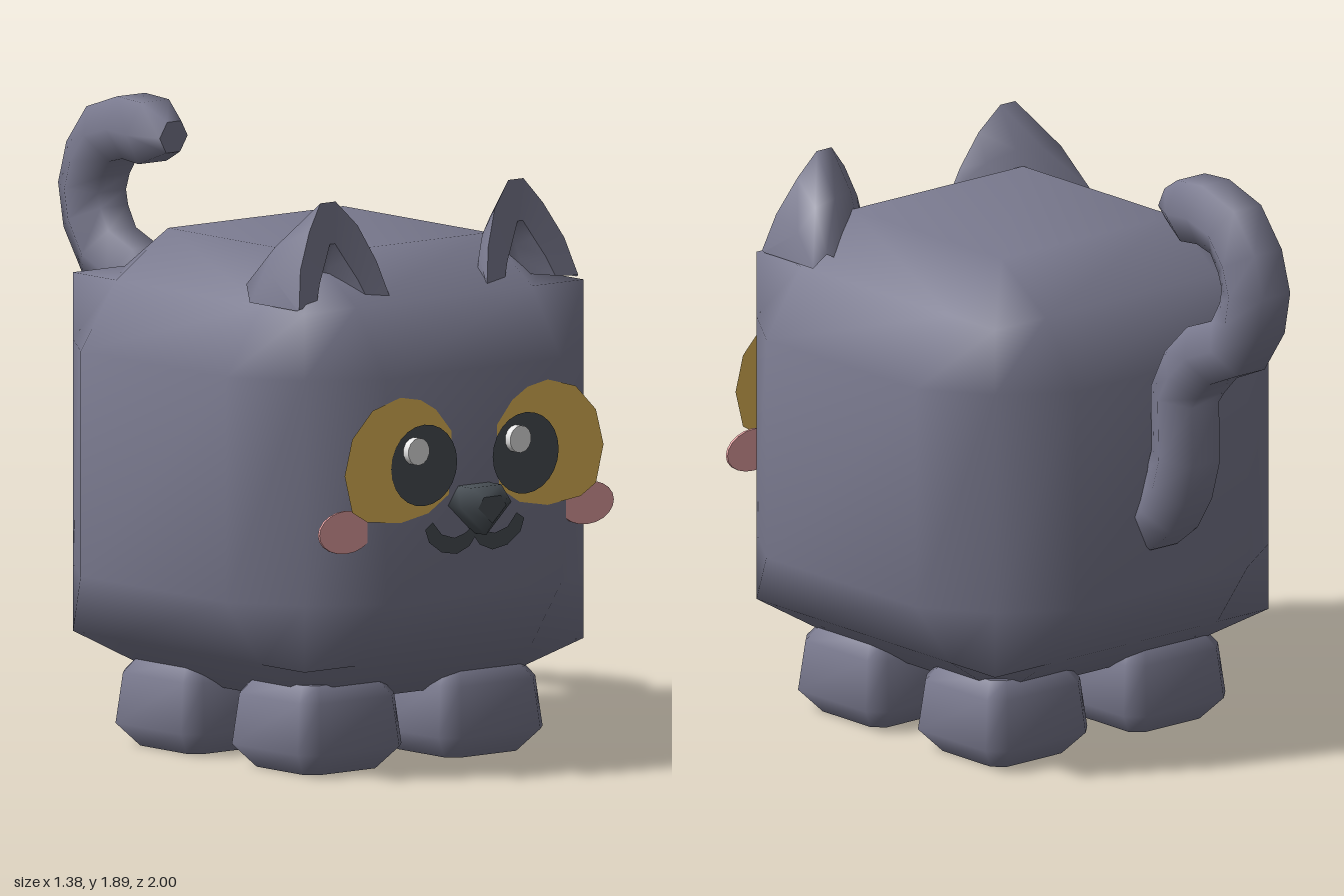
import * as THREE from 'three';
import { mergeVertices, mergeGeometries } from 'three/addons/utils/BufferGeometryUtils.js';

const paint = (name, color, side = THREE.FrontSide) => {
  const m = new THREE.MeshStandardMaterial({ color, side });
  m.name = name;
  return m;
};

// Smooth surface through rings of points; closed rings may be capped at both ends
function loft(rings, closed = true, caps = true) {
  const n = rings[0].length, idx = [];
  const make = (pts, index) => {
    const g = new THREE.BufferGeometry();
    g.setAttribute('position', new THREE.Float32BufferAttribute(pts.flat(), 3));
    g.setIndex(index);
    g.computeVertexNormals();
    return g;
  };
  for (let i = 0; i < rings.length - 1; i++) {
    for (let j = 0; j < (closed ? n : n - 1); j++) {
      const k = (j + 1) % n, a = i * n + j, b = i * n + k;
      idx.push(a, b, b + n, a, b + n, a + n);
    }
  }
  const parts = [make(rings.flat(), idx)];
  if (closed && caps) {
    const fan = [], back = [];
    for (let j = 1; j < n - 1; j++) {
      fan.push(0, j, j + 1);
      back.push(0, j + 1, j);
    }
    parts.push(make(rings[0], back), make(rings[rings.length - 1], fan));
  }
  return mergeGeometries(parts);
}

// Cube whose six faces bulge outwards as flat-topped panels
function bodyGeometry() {
  const box = new THREE.BoxGeometry(2, 2, 2, 3, 3, 3);
  box.deleteAttribute('uv');
  box.deleteAttribute('normal');
  const g = mergeVertices(box), p = g.attributes.position;
  for (let i = 0; i < p.count; i++) {
    const v = [p.getX(i), p.getY(i), p.getZ(i)];
    const outer = v.filter((c) => Math.abs(c) > 0.9).length;
    const w = v.map((c) => Math.sign(c) * (Math.abs(c) > 0.9 ? (outer === 1 ? 0.69 : 0.55) : 0.345));
    p.setXYZ(i, ...w);
  }
  g.computeVertexNormals();
  return g;
}

// Stubby paw from rounded-square sections
function legGeometry() {
  const section = (y, h) => {
    const c = h * 0.76;
    return [[h, c], [h, -c], [c, -h], [-c, -h], [-h, -c], [-h, c], [-c, h], [c, h]].map(([x, z]) => [x, y, z]);
  };
  return loft([section(0, 0.145), section(0.07, 0.205), section(0.225, 0.187), section(0.275, 0.15)]);
}

// Six-sided curling tail, path given as [z, y]
function tailGeometry() {
  const path = [[-0.42, 0.76], [-0.5, 0.82], [-0.55, 0.9], [-0.58, 1.0], [-0.575, 1.19], [-0.62, 1.27],
    [-0.7, 1.35], [-0.82, 1.4], [-0.885, 1.5], [-0.903, 1.59], [-0.875, 1.68], [-0.81, 1.765],
    [-0.705, 1.797], [-0.61, 1.79], [-0.515, 1.785]];
  return loft(path.map(([z, y], i) => {
    const a = path[Math.max(i - 1, 0)], b = path[Math.min(i + 1, path.length - 1)];
    const l = Math.hypot(b[0] - a[0], b[1] - a[1]), tz = (b[0] - a[0]) / l, ty = (b[1] - a[1]) / l;
    const r = i === path.length - 1 ? 0.055 : 0.11;
    return Array.from({ length: 6 }, (_, k) => {
      const t = k * Math.PI / 3, c = r * Math.cos(t), s = r * Math.sin(t);
      return [c, y + s * tz, z - s * ty];
    });
  }));
}

// Hollow ear: curved back shell, front rim and recess
function earGeometry() {
  const lean = (y) => 0.745 - (y - 1.455) * 0.265;
  const rim = [[0.19, 1.455], [0.22, 1.57], [0.27, 1.68], [0.34, 1.758], [0.40, 1.758], [0.46, 1.68],
    [0.52, 1.57], [0.55, 1.455]].map(([x, y]) => [x, y, lean(y)]);
  const inner = [[0.27, 1.46], [0.295, 1.52], [0.33, 1.58], [0.36, 1.633], [0.38, 1.633], [0.41, 1.58],
    [0.445, 1.52], [0.47, 1.46]].map(([x, y]) => [x, y, lean(y) - 0.012]);
  const recess = inner.map(([x, y]) => [0.37 + (x - 0.37) * 0.5, 1.46 + (y - 1.46) * 0.75, 0.64]);
  const pit = inner.map(() => [0.37, 1.48, 0.62]);
  const base = [[0.2, 0.735], [0.2, 0.68], [0.25, 0.62], [0.33, 0.53], [0.43, 0.49], [0.53, 0.47],
    [0.55, 0.51], [0.55, 0.735]].map(([x, z], i) => [x, i === 5 ? 1.5 : 1.45, z]);
  const mid = rim.map((p, i) => {
    const bulge = i > 0 && i < 7 ? 1 : 0;
    return [(p[0] + base[i][0]) / 2, (p[1] + base[i][1]) / 2 + 0.03 * bulge, (p[2] + base[i][2]) / 2 - 0.015 * bulge];
  });
  return mergeGeometries([
    loft([rim, mid, base], false),
    loft([inner, rim], false),
    loft([pit, recess, inner], false),
  ]);
}

const shapeOf = (pts) => new THREE.Shape(pts.map(([x, y]) => new THREE.Vector2(x, y)));

export function createModel() {
  const model = new THREE.Group();
  const fur = paint('greyFur', 0x7a7a8f, THREE.DoubleSide);
  const amber = paint('amberEye', 0xffcf63, THREE.DoubleSide);
  const dark = paint('darkFeature', 0x495056, THREE.DoubleSide);
  const pink = paint('pinkCheek', 0xffb3b5, THREE.DoubleSide);
  const white = paint('whiteGlint', 0xffffff);
  const add = (name, geo, mat, x = 0, y = 0, z = 0) => {
    const m = new THREE.Mesh(geo, mat);
    m.name = name;
    m.position.set(x, y, z);
    model.add(m);
    return m;
  };

  add('body', bodyGeometry(), fur, 0, 0.895, 0.22);
  add('tail', tailGeometry(), fur);

  const leg = legGeometry(), ear = earGeometry();
  const iris = new THREE.ShapeGeometry(shapeOf([[0.09, 1.06], [0.15, 1.13], [0.21, 1.165], [0.29, 1.18],
    [0.4, 1.15], [0.48, 1.07], [0.51, 0.96], [0.48, 0.845], [0.42, 0.81], [0.29, 0.795], [0.18, 0.815],
    [0.1, 0.865], [0.09, 0.96]]));
  const disc = new THREE.CircleGeometry(1, 24);
  const cheek = new THREE.CylinderGeometry(1, 1, 0.008, 20).rotateX(Math.PI / 2);
  const glint = new THREE.CylinderGeometry(0.042, 0.042, 0.024, 14).rotateX(Math.PI / 2);

  // Paired parts
  for (const s of [1, -1]) {
    const side = s > 0 ? 'left' : 'right';
    add(side + 'FrontLeg', leg, fur, s * 0.278, 0, 0.5);
    add(side + 'BackLeg', leg, fur, s * 0.278, 0, -0.053);
    add(side + 'Ear', ear, fur).scale.x = s;
    add(side + 'Iris', iris, amber, 0, 0, 0.913).scale.x = s;
    add(side + 'Pupil', disc, dark, s * 0.2, 0.964, 0.917).scale.set(0.13, 0.125, 1);
    add(side + 'Cheek', cheek, pink, s * 0.475, 0.78, 0.874).scale.set(0.105, 0.066, 1);
    add(side + 'Glint', glint, white, s > 0 ? 0.158 : -0.243, 1.013, 0.932);
  }

  // Mouth: two joined curves
  const top = [[0, 0.765], [0.04, 0.74], [0.08, 0.73], [0.13, 0.745], [0.165, 0.785], [0.195, 0.765]];
  const low = [[0.18, 0.725], [0.13, 0.69], [0.07, 0.68], [0.02, 0.7], [0, 0.725]];
  const half = [...top, ...low];
  const mirrored = half.slice(1, -1).reverse().map(([x, y]) => [-x, y]);
  add('mouth', new THREE.ShapeGeometry(shapeOf([...half, ...mirrored])), dark, 0, 0, 0.916);

  // Nose: rounded triangle with a bevelled front
  const noseRing = (k, z) => [[0, 0.737], [0.1, 0.83], [0.06, 0.887], [-0.06, 0.887], [-0.1, 0.83]]
    .map(([x, y]) => [x * k, 0.825 + (y - 0.825) * k, z]);
  add('nose', loft([noseRing(1, 0.905), noseRing(1, 0.97), noseRing(0.55, 1)]), dark);

  return model;
}
